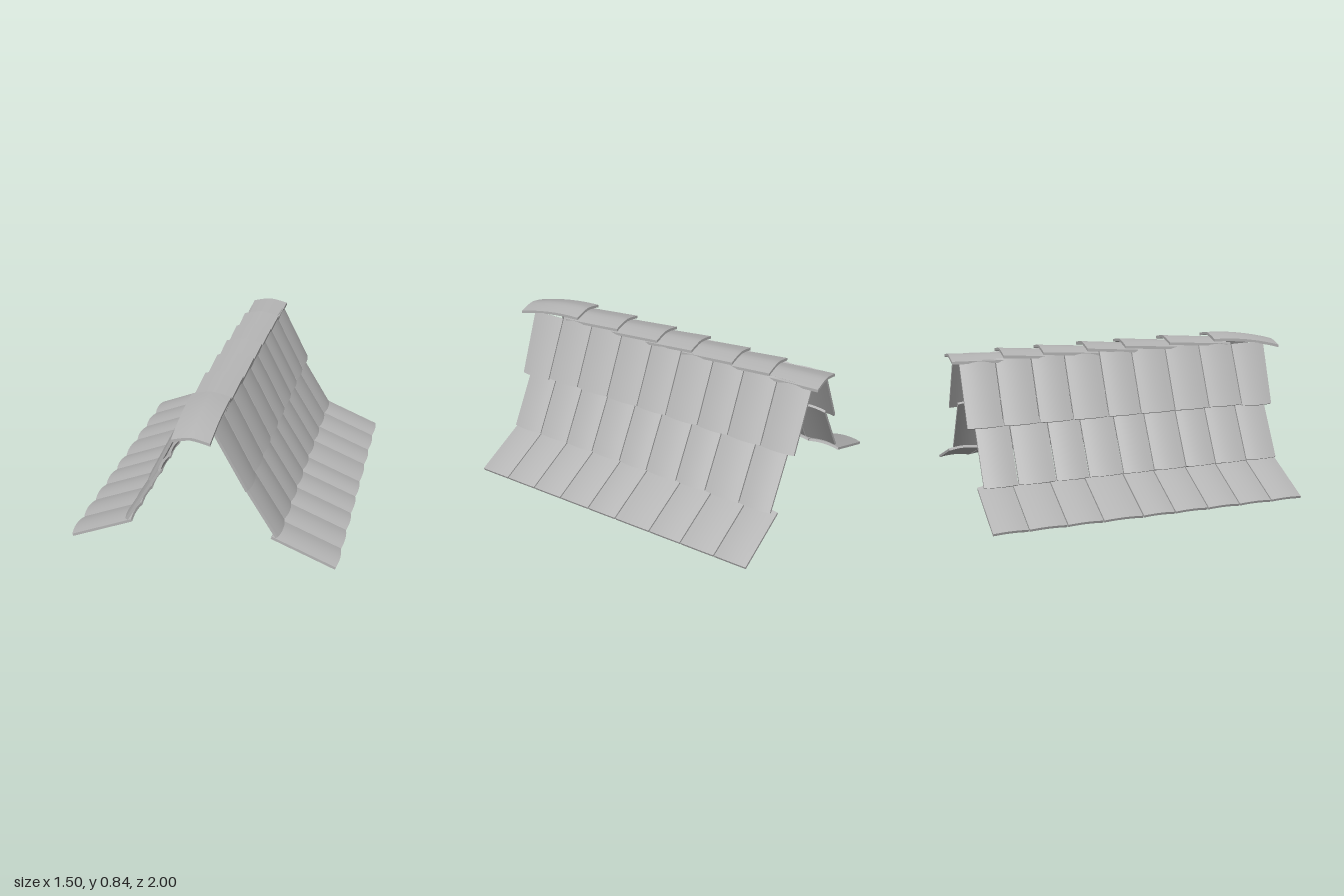
import * as THREE from 'three';

const stone = new THREE.MeshStandardMaterial({ color: 0xb4b4b4 });
stone.name = 'grey slate';

// Bends a unit slab by a rule: place(u, h, w) with u, h in 0..1 and w in -1..1
function slab(name, nx, nz, place) {
  const geo = new THREE.BoxGeometry(1, 1, 1, nx, 1, nz);
  const p = geo.attributes.position;
  for (let i = 0; i < p.count; i++) {
    p.setXYZ(i, ...place(p.getX(i) + 0.5, p.getY(i) + 0.5, p.getZ(i) * 2));
  }
  geo.computeVertexNormals();
  const mesh = new THREE.Mesh(geo, stone);
  mesh.name = name;
  return mesh;
}

// Underside line of each row (top point to bottom point) and the seams along z
const rows = [
  { name: 'upperRow', top: [0.077, 0.79], bottom: [0.25, 0.45], extend: 0.005,
    seams: [0.89, 0.685, 0.475, 0.26, 0.05, -0.145, -0.355, -0.55, -0.755, -0.96] },
  { name: 'middleRow', top: [0.215, 0.475], bottom: [0.41, 0.155], extend: 0.006,
    seams: [0.84, 0.645, 0.45, 0.265, 0.07, -0.115, -0.315, -0.505, -0.72, -0.915] },
  { name: 'lowerRow', top: [0.385, 0.148], bottom: [0.734, 0.006], extend: 0.006,
    seams: [0.84, 0.65, 0.455, 0.265, 0.07, -0.115, -0.34, -0.54, -0.75, -0.945] },
];

// One gently arched roof tile; side is +1 (left) or -1 (right)
function roofTile(row, i, side) {
  const zc = (row.seams[i] + row.seams[i + 1]) / 2;
  const half = (row.seams[i] - row.seams[i + 1]) / 2 - 0.003;
  const dx = row.bottom[0] - row.top[0], dy = row.bottom[1] - row.top[1];
  const len = Math.hypot(dx, dy), d = [dx / len, dy / len];
  const frontUpper = row.name === 'upperRow' && i === 0;
  const drop = frontUpper ? 0.012 : 0;
  return slab('roofTile', 4, 6, (u, h, w) => {
    const t = side > 0 ? u : 1 - u;
    const arch = 1 - w * w;
    const along = t * (len + row.extend * arch) + drop;
    const out = h * 0.015 + arch * 0.011;
    const lean = frontUpper ? 0.02 * (0.5 - t) * (w + 1) / 2 : 0;
    return [
      side * (row.top[0] + d[0] * along - d[1] * out),
      row.top[1] + d[1] * along + d[0] * out,
      zc + half * w + lean,
    ];
  });
}

// Ridge caps: [front z, front height, back z, back height]
const caps = [
  [1.0, 0.785, 0.57, 0.848],
  [0.66, 0.815, 0.285, 0.847],
  [0.36, 0.815, 0.01, 0.845],
  [0.09, 0.815, -0.22, 0.844],
  [-0.15, 0.813, -0.48, 0.84],
  [-0.4, 0.812, -0.71, 0.838],
  [-0.66, 0.81, -1.0, 0.823],
];

function ridgeCap([z0, y0, z1, y1], i) {
  return slab('ridgeCap', 8, 8, (u, h, w) => {
    const s = u * 2 - 1;
    const t = (1 - w) / 2;
    const rise = i === 0 ? 1 - (1 - t) ** 2 : t;
    const y = y0 + (y1 - y0) * rise - 0.022 * Math.abs(s) ** 1.4 - 0.016 * (1 - h);
    return [s * (0.102 + 0.006 * t), y, z0 + (z1 - z0) * t];
  });
}

export function createModel() {
  const model = new THREE.Group();
  model.name = 'tiledRoof';

  // Sloping rows, mirrored on both sides
  for (const row of rows) {
    for (const side of [1, -1]) {
      const group = new THREE.Group();
      group.name = row.name + (side > 0 ? 'Left' : 'Right');
      for (let i = 0; i < row.seams.length - 1; i++) group.add(roofTile(row, i, side));
      model.add(group);
    }
  }

  // Overlapping caps along the top
  const ridge = new THREE.Group();
  ridge.name = 'ridge';
  caps.forEach((cap, i) => ridge.add(ridgeCap(cap, i)));
  model.add(ridge);
  return model;
}
